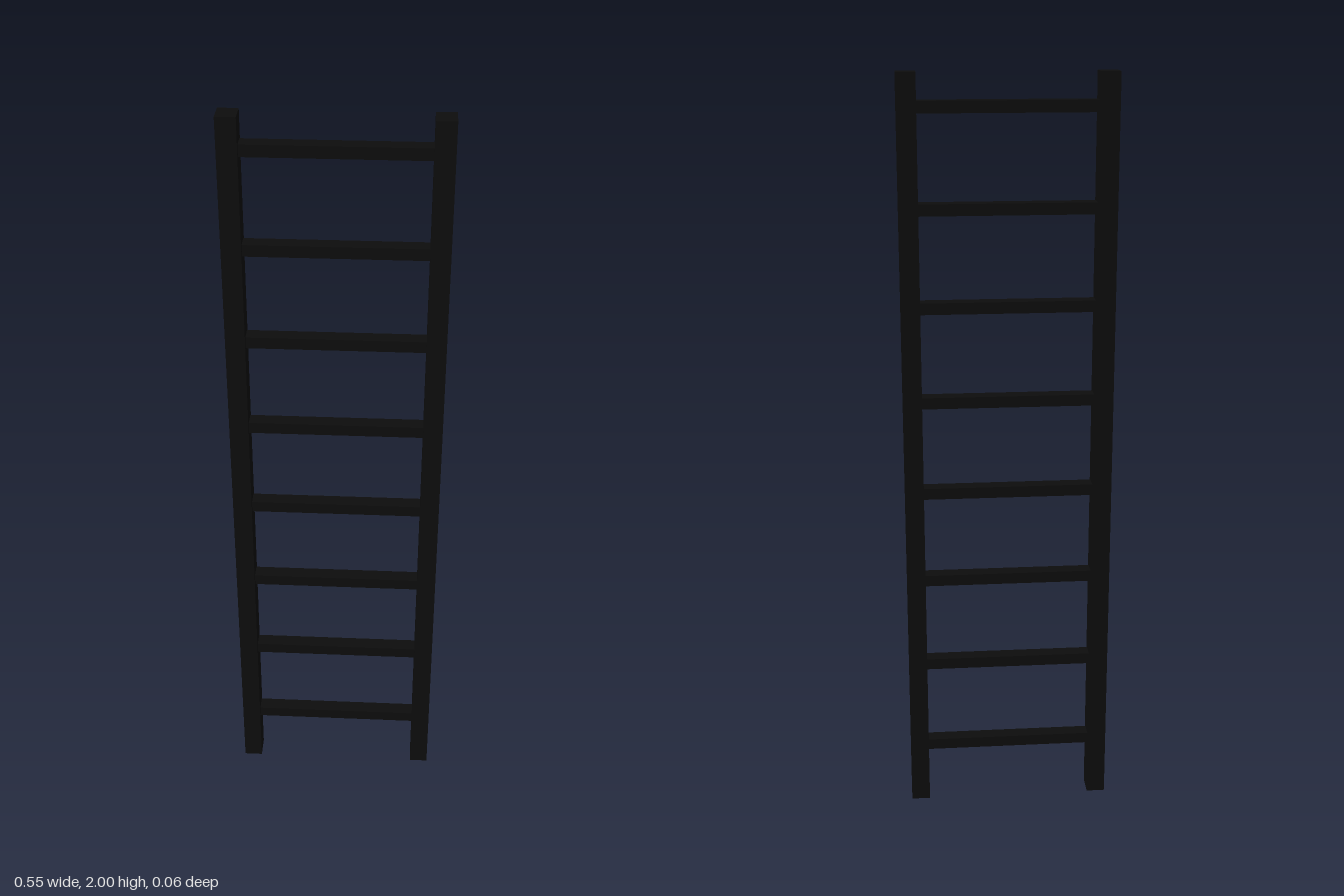
import * as THREE from 'three';

export function createModel() {
  const ladder = new THREE.Group();
  ladder.name = 'ladder';

  const black = new THREE.MeshStandardMaterial({ color: 0x0d0d0d });
  black.name = 'black';

  const addBox = (name, w, h, d, x, y) => {
    const mesh = new THREE.Mesh(new THREE.BoxGeometry(w, h, d), black);
    mesh.name = name;
    mesh.position.set(x, y, 0);
    ladder.add(mesh);
  };

  // Upright side rails
  addBox('leftRail', 0.05, 2, 0.06, 0.25, 1);
  addBox('rightRail', 0.05, 2, 0.06, -0.25, 1);

  // Evenly spaced rungs, set slightly into the rails
  for (let i = 0; i < 8; i++) {
    addBox(`rung${i + 1}`, 0.46, 0.03, 0.04, 0, 0.167 + i * 0.25);
  }

  return ladder;
}
